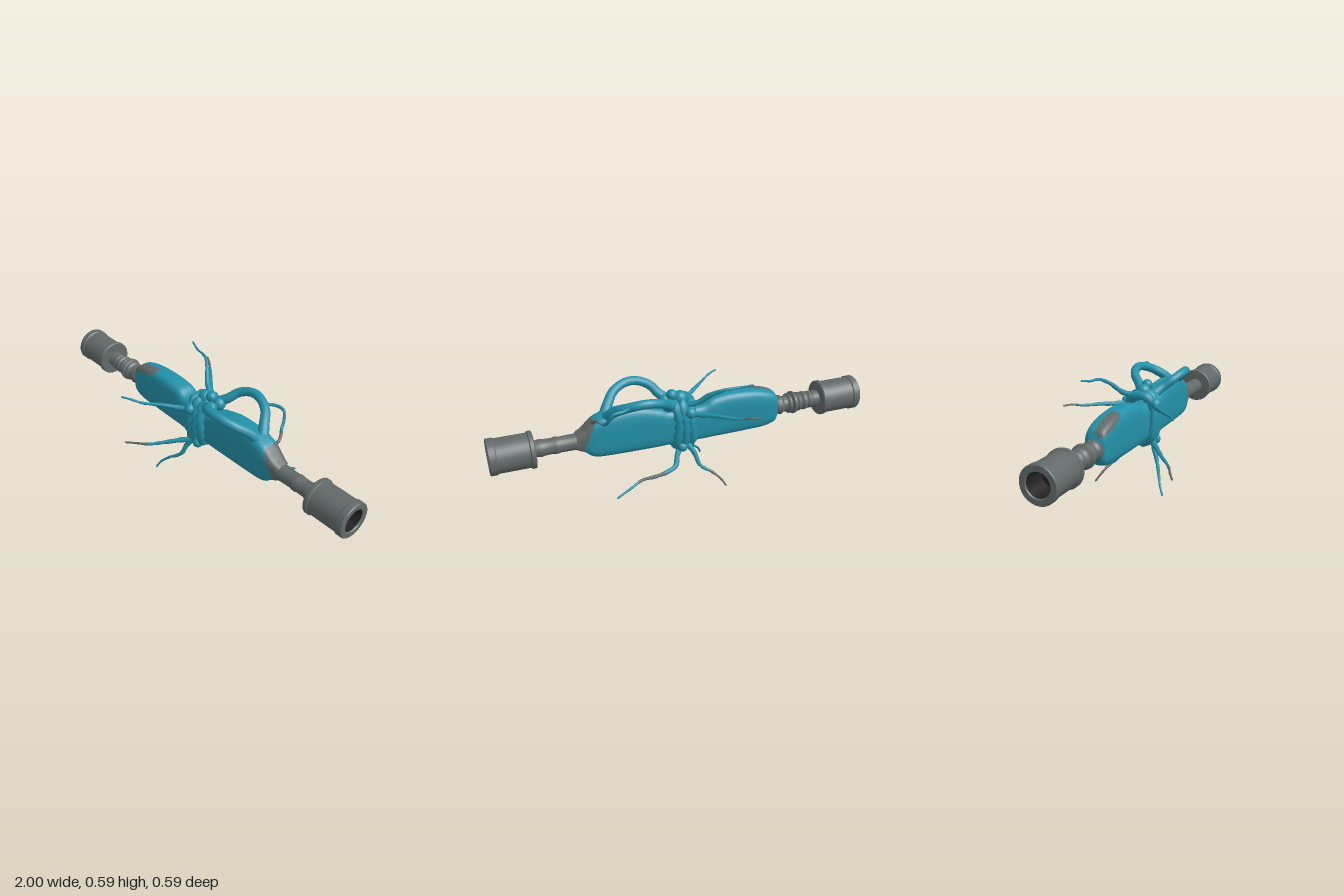
import * as THREE from 'three';
import { toCreasedNormals } from 'three/addons/utils/BufferGeometryUtils.js';

const V = (p) => new THREE.Vector3(...p);

export function createModel() {
  const group = new THREE.Group();
  const mat = (name, color) => {
    const m = new THREE.MeshStandardMaterial({ color });
    m.name = name;
    return m;
  };
  const teal = mat('teal', 0x2391a9);
  const grey = mat('grey', 0x626a69);
  const black = mat('black', 0x222222);
  const add = (name, geo, material) => {
    const m = new THREE.Mesh(geo, material);
    m.name = name;
    group.add(m);
    return m;
  };

  // Cord along a curve; radius(t, angle) shapes it, worn lists grey spans of t
  function cord(name, curve, radius, { seg = 48, sides = 10, closed = false, worn = [] } = {}) {
    const geo = new THREE.TubeGeometry(curve, seg, 1, sides, closed);
    const pos = geo.attributes.position, nor = geo.attributes.normal;
    const v = new THREE.Vector3(), n = new THREE.Vector3();
    for (let i = 0; i <= seg; i++) {
      const c = curve.getPointAt(i / seg);
      for (let j = 0; j <= sides; j++) {
        const k = i * (sides + 1) + j;
        n.fromBufferAttribute(nor, k);
        v.copy(c).addScaledVector(n, radius(i / seg));
        pos.setXYZ(k, v.x, v.y, v.z);
      }
    }
    for (let i = 0; i < seg; i++) {
      const t = (i + 0.5) / seg;
      const isGrey = worn.some(([a, b]) => t > a && t < b);
      geo.addGroup(i * sides * 6, sides * 6, isGrey ? 1 : 0);
    }
    return add(name, geo, [teal, grey]);
  }
  const path = (pts) => new THREE.CatmullRomCurve3(pts.map(V));

  // Slab body lofted through stations: x, bottom, top, half depth
  const stations = [
    [-0.54, 0.33, 0.34, 0.005], [-0.52, 0.28, 0.4, 0.045], [-0.5, 0.255, 0.43, 0.056],
    [-0.44, 0.24, 0.455, 0.062], [-0.36, 0.237, 0.47, 0.063], [-0.25, 0.235, 0.476, 0.063],
    [-0.15, 0.235, 0.465, 0.063], [-0.08, 0.235, 0.435, 0.063], [0.08, 0.237, 0.435, 0.063],
    [0.14, 0.235, 0.455, 0.063], [0.25, 0.235, 0.483, 0.063], [0.38, 0.238, 0.48, 0.063],
    [0.46, 0.243, 0.457, 0.062], [0.5, 0.255, 0.43, 0.057], [0.53, 0.28, 0.402, 0.05],
    [0.57, 0.298, 0.378, 0.04],
  ];
  const outline = new THREE.CatmullRomCurve3(stations.map((s) => V(s.slice(0, 3))), false, 'catmullrom');
  const depth = new THREE.CatmullRomCurve3(stations.map((s) => V([s[0], s[3], 0])), false, 'catmullrom');
  const rows = 150, around = 56, verts = [];
  const squash = (c) => Math.sign(c) * Math.abs(c) ** 0.55;
  for (let i = 0; i <= rows; i++) {
    const o = outline.getPoint(i / rows), hz = depth.getPoint(i / rows).y;
    for (let j = 0; j < around; j++) {
      const a = (j / around) * Math.PI * 2;
      verts.push(o.x, (o.y + o.z) / 2 + squash(Math.sin(a)) * (o.z - o.y) / 2, squash(Math.cos(a)) * hz);
    }
  }
  const faces = [[], []];
  for (let i = 0; i < rows; i++) {
    for (let j = 0; j < around; j++) {
      const k = (j + 1) % around;
      const a = i * around + j, b = a + around, c = i * around + k, d = c + around;
      const [x, y, z] = verts.slice(a * 3, a * 3 + 3);
      const wornLeft = x < -0.35 && z > 0.015 && y > 0.4 + (x + 0.5) * 0.35;
      const wornRight = x > 0.475 + (0.45 - y) * 0.45;
      faces[wornLeft || wornRight ? 1 : 0].push(a, b, c, b, d, c);
    }
  }
  const body = new THREE.BufferGeometry();
  body.setAttribute('position', new THREE.Float32BufferAttribute(verts, 3));
  body.setIndex([...faces[0], ...faces[1]]);
  body.addGroup(0, faces[0].length, 0);
  body.addGroup(faces[0].length, faces[1].length, 1);
  body.computeVertexNormals();
  add('body', body, [teal, grey]);

  // Ends turned on the long axis: stem, hollow socket and dark bore
  const turned = (name, profile, side, material) => {
    const geo = new THREE.LatheGeometry(profile.map(([r, x]) => new THREE.Vector2(r, x)), 40);
    geo.rotateZ(-side * Math.PI / 2).translate(0, 0.337, 0);
    add(name, toCreasedNormals(geo, 0.6), material);
  };
  const socket = [
    [0.04, 0.775], [0.09, 0.777], [0.094, 0.782], [0.094, 0.798], [0.087, 0.803], [0.087, 0.96],
    [0.092, 0.965], [0.092, 0.995], [0.088, 1], [0.062, 1], [0.058, 0.994],
  ];
  const bore = [[0.058, 0.994], [0.056, 0.88], [0, 0.88]];
  const smoothStem = [
    [0.052, 0.52], [0.045, 0.55], [0.041, 0.58], [0.04, 0.65], [0.043, 0.66], [0.043, 0.675],
    [0.04, 0.685], [0.041, 0.73], [0.044, 0.74], [0.044, 0.755], [0.04, 0.78],
  ];
  const ringedStem = [
    [0.03, 0.5], [0.05, 0.525], [0.052, 0.55], [0.042, 0.565], [0.044, 0.585], [0.054, 0.595],
    [0.052, 0.607], [0.047, 0.612], [0.061, 0.62], [0.06, 0.632], [0.046, 0.642], [0.052, 0.652],
    [0.05, 0.664], [0.042, 0.674], [0.05, 0.684], [0.049, 0.698], [0.041, 0.708], [0.047, 0.718],
    [0.046, 0.73], [0.041, 0.738], [0.045, 0.748], [0.042, 0.78],
  ];
  turned('leftStem', smoothStem, 1, grey);
  turned('rightStem', ringedStem, -1, grey);
  for (const [label, side] of [['left', 1], ['right', -1]]) {
    turned(label + 'Socket', socket, side, grey);
    turned(label + 'Bore', bore, side, black);
  }

  // Lumpy cords bound round the waist
  const coils = [
    [-0.018, 0.345, 0.125, 0.072, 0.024], [0.018, 0.345, 0.132, 0.072, 0.025], [0.052, 0.348, 0.122, 0.068, 0.024],
  ];
  coils.forEach(([x, y, hy, hz, r], c) => {
    const pts = [];
    for (let i = 0; i < 24; i++) {
      const a = (i / 24) * Math.PI * 2;
      pts.push([x + 0.006 * Math.sin(3 * a + c), y + hy * Math.sin(a), hz * squash(Math.cos(a))]);
    }
    const ring = new THREE.CatmullRomCurve3(pts.map(V), true);
    cord('waistCoil', ring, (t) => r * (1 + 0.18 * Math.sin(t * Math.PI * 24 + c * 0.8)),
      { seg: 120, closed: true });
  });

  // Knots on the crown, shoulders and belly
  const knots = [
    [0.065, 0.508, 0, 0.028], [0.02, 0.485, 0, 0.037], [0.02, 0.222, 0, 0.036],
    [0.09, 0.465, 0.03, 0.034], [0.09, 0.465, -0.03, 0.034],
    [-0.01, 0.43, 0.078, 0.03], [-0.01, 0.43, -0.078, 0.03],
    [0.03, 0.23, 0.062, 0.028], [0.03, 0.23, -0.062, 0.028],
  ];
  for (const [x, y, z, r] of knots) {
    add('knot', new THREE.SphereGeometry(r, 20, 14), teal).position.set(x, y, z);
  }

  // Pair of arching loops
  for (const s of [1, -1]) {
    const arch = path([
      [0.05, 0.45, 0.025 * s], [0.11, 0.49, 0.065 * s], [0.15, 0.528, 0.11 * s], [0.21, 0.55, 0.132 * s],
      [0.27, 0.551, 0.13 * s], [0.34, 0.528, 0.1 * s], [0.385, 0.49, 0.05 * s], [0.41, 0.455, 0.02 * s],
    ]);
    cord('loop', arch, (t) => 0.023 + 0.006 * Math.abs(2 * t - 1) ** 3, { seg: 64, sides: 14 });
  }

  // Thin tendrils from root to tip, with worn grey spans
  const tendrils = [
    ['upperBackTendril', [[0.0, 0.46, -0.05], [-0.06, 0.49, -0.085], [-0.11, 0.54, -0.125], [-0.16, 0.57, -0.157],
      [-0.24, 0.578, -0.17], [-0.3, 0.59, -0.19]], []],
    ['middleBackTendril', [[0, 0.425, -0.07], [-0.06, 0.425, -0.11], [-0.13, 0.434, -0.17], [-0.2, 0.437, -0.23],
      [-0.25, 0.45, -0.265], [-0.3, 0.452, -0.295]], [[0.78, 1]]],
    ['middleFrontTendril', [[0, 0.425, 0.07], [-0.06, 0.425, 0.11], [-0.13, 0.433, 0.17], [-0.2, 0.438, 0.235],
      [-0.25, 0.45, 0.27], [-0.3, 0.453, 0.297]], []],
    ['lowerFrontTendril', [[0, 0.23, 0.055], [-0.05, 0.217, 0.1], [-0.12, 0.193, 0.165], [-0.18, 0.175, 0.225],
      [-0.24, 0.165, 0.26], [-0.3, 0.155, 0.297]], [[0.65, 1]]],
    ['bottomFrontTendril', [[0, 0.24, 0.06], [-0.03, 0.19, 0.085], [-0.05, 0.13, 0.11], [-0.11, 0.085, 0.145],
      [-0.15, 0.045, 0.17], [-0.17, 0.003, 0.192]], []],
    ['bottomBackTendril', [[0, 0.24, -0.06], [-0.03, 0.19, -0.085], [-0.05, 0.13, -0.113], [-0.11, 0.09, -0.148],
      [-0.15, 0.052, -0.172], [-0.17, 0.018, -0.192]], [[0.6, 1]]],
    ['lowerBackTendril', [[0.03, 0.23, -0.045], [0.06, 0.19, -0.07], [0.08, 0.145, -0.1], [0.13, 0.131, -0.12],
      [0.21, 0.134, -0.145], [0.28, 0.146, -0.168], [0.35, 0.133, -0.2], [0.44, 0.13, -0.257]], [[0.38, 0.68]]],
  ];
  for (const [name, pts, worn] of tendrils) {
    cord(name, path(pts), (t) => (0.005 + 0.012 * (1 - t) ** 1.6) * (1 + 0.08 * Math.sin(t * 40)) * (t > 0.999 ? 0.02 : 1),
      { worn });
  }

  // Stray strand trailing off the back loop
  const strand = path([
    [0.31, 0.54, -0.115], [0.36, 0.543, -0.15], [0.41, 0.538, -0.155], [0.43, 0.5, -0.14],
    [0.445, 0.468, -0.11], [0.475, 0.475, -0.075], [0.487, 0.455, -0.05], [0.485, 0.44, -0.02],
  ]);
  cord('strand', strand, () => 0.008, { worn: [[0.75, 1]] });
  return group;
}
